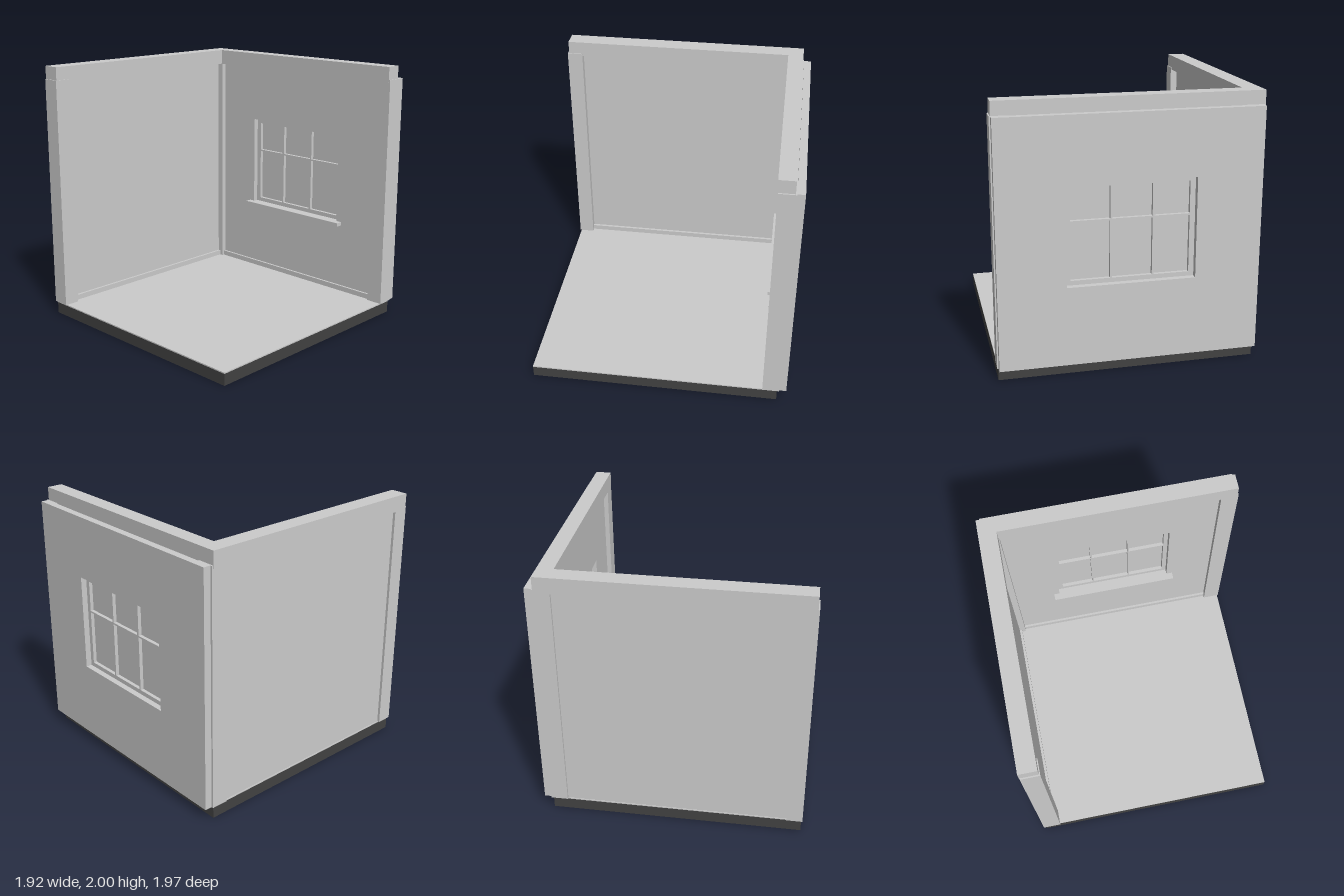
import * as THREE from 'three';

export function createModel() {
  const model = new THREE.Group();
  model.name = 'roomCorner';

  const plaster = new THREE.MeshStandardMaterial({ color: 0xcccccc });
  plaster.name = 'light grey';
  const base = new THREE.MeshStandardMaterial({ color: 0x424242 });
  base.name = 'dark grey';

  const add = (name, geometry, material = plaster) => {
    const mesh = new THREE.Mesh(geometry, material);
    mesh.name = name;
    model.add(mesh);
    return mesh;
  };

  // Box given by its lower and upper limits on each axis
  const box = (name, x0, x1, y0, y1, z0, z1, material) => {
    const mesh = add(name, new THREE.BoxGeometry(x1 - x0, y1 - y0, z1 - z0), material);
    mesh.position.set((x0 + x1) / 2, (y0 + y1) / 2, (z0 + z1) / 2);
    return mesh;
  };

  // Upright slab with rectangular openings, rectangles as [x0, x1, y0, y1]
  const trace = (target, [x0, x1, y0, y1]) =>
    target.moveTo(x0, y0).lineTo(x1, y0).lineTo(x1, y1).lineTo(x0, y1).closePath();
  const slab = (name, outline, openings, z0, z1) => {
    const shape = trace(new THREE.Shape(), outline);
    for (const opening of openings) shape.holes.push(trace(new THREE.Path(), opening));
    const geometry = new THREE.ExtrudeGeometry(shape, { depth: z1 - z0, bevelEnabled: false });
    add(name, geometry).position.z = z0;
  };

  // Floor
  box('foundation', -0.945, 0.95, 0, 0.088, -0.915, 0.975, base);
  box('floor', -0.945, 0.95, 0.088, 0.097, -0.915, 0.975);

  // Posts
  box('cornerPost', -0.96, -0.825, 0.097, 1.9, -0.93, -0.802);
  box('frontPost', -0.96, -0.822, 0.097, 1.9, 0.865, 0.985);
  box('rightPost', 0.828, 0.958, 0.097, 1.9, -0.93, -0.804);

  // Top beams
  box('sideBeam', -0.964, -0.83, 1.88, 2, -0.92, 0.975);
  box('backBeam', -0.83, 0.948, 1.88, 2, -0.92, -0.8);

  // Walls
  const windowHole = [-0.465, 0.464, 0.683, 1.423];
  box('sideWall', -0.94, -0.875, 0.097, 1.88, -0.802, 0.865);
  slab('backWall', [-0.825, 0.828, 0.097, 1.88], [windowHole], -0.93, -0.84);
  slab('outerCladding', [-0.945, 0.948, 0.097, 1.9], [windowHole], -0.985, -0.93);

  // Skirting boards
  box('sideSkirting', -0.875, -0.855, 0.097, 0.138, -0.802, 0.865);
  box('backSkirting', -0.825, 0.828, 0.097, 0.138, -0.84, -0.822);

  // Window
  const panes = [];
  for (const [x0, x1] of [[-0.426, -0.171], [-0.156, 0.133], [0.147, 0.429]])
    for (const [y0, y1] of [[0.716, 1.138], [1.151, 1.387]]) panes.push([x0, x1, y0, y1]);
  slab('windowFrame', windowHole, panes, -0.94, -0.88);
  box('windowGlass', -0.44, 0.44, 0.7, 1.4, -0.913, -0.907);
  box('windowSill', -0.51, 0.512, 0.655, 0.684, -0.85, -0.786);

  return model;
}
